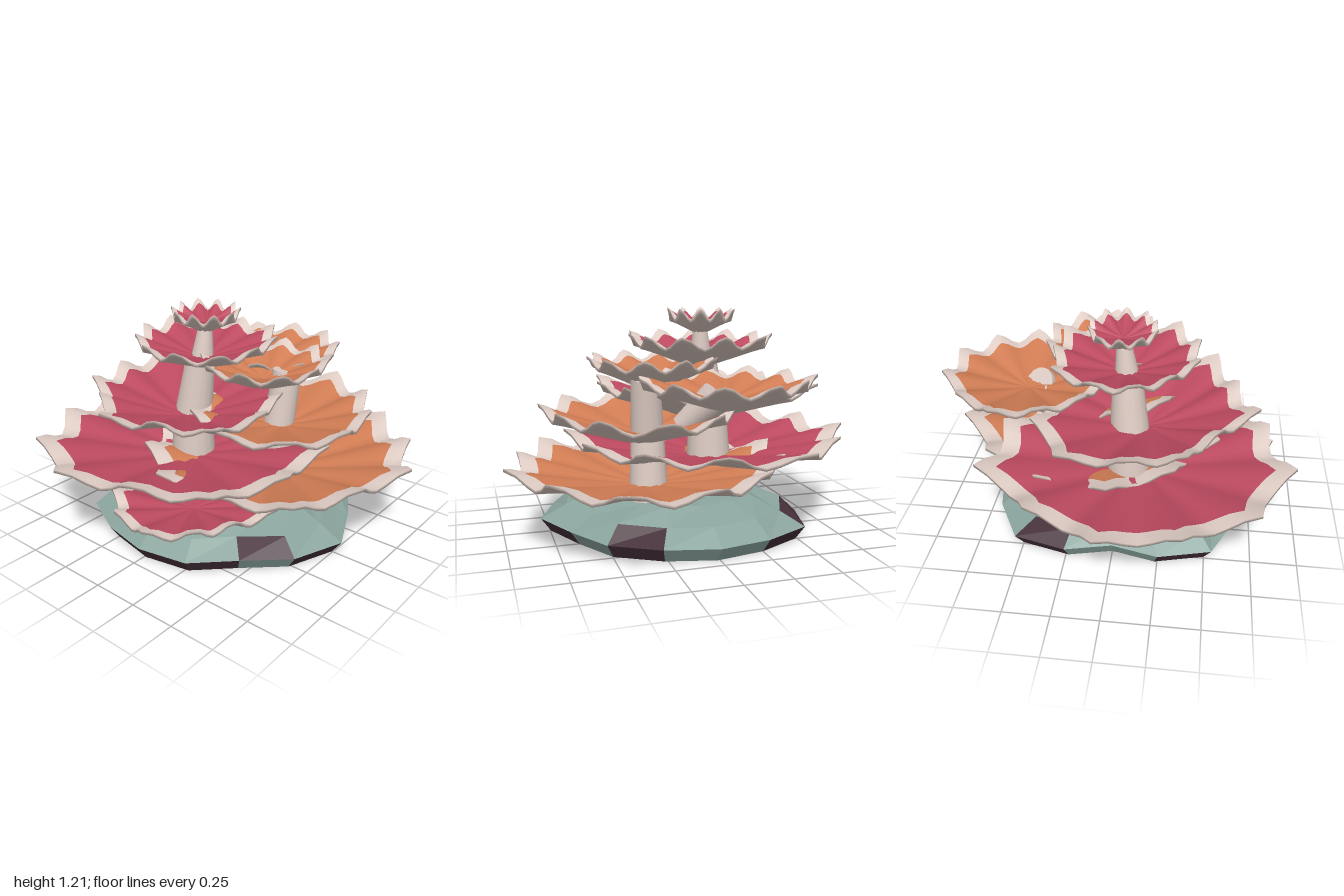
import * as THREE from 'three';

const mat = (name, color) => {
  const m = new THREE.MeshStandardMaterial({ color });
  m.name = name;
  return m;
};

// Grid surface from rings of [x, y, z] points closed around y; groups colour each ring band
function ringSurface(rings, faceDown, bandMaterial) {
  const n = rings[0].length, index = [];
  const g = new THREE.BufferGeometry();
  g.setAttribute('position', new THREE.Float32BufferAttribute(rings.flat(2), 3));
  for (let i = 0; i < rings.length - 1; i++) {
    g.addGroup(index.length, n * 6, bandMaterial(i));
    for (let j = 0; j < n; j++) {
      const k = (j + 1) % n;
      const a = i * n + j, b = i * n + k, c = a + n, d = b + n;
      if (faceDown) index.push(a, c, b, b, c, d);
      else index.push(a, b, c, b, d, c);
    }
  }
  g.setIndex(index);
  g.computeVertexNormals();
  return g;
}

// Nearly equal lobe lengths for the round plates
const evenTips = (n, r) => Array.from({ length: n }, (_, i) => r * (1 + 0.04 * Math.sin(i * 2.4)));

// Ruffled, shallow-cone plate: evenly spaced raised tips (from angle start) with notches between
function makePlate({ name, center: [cx, cz], start, tips, low, high, wave, rim, inner }, rimMat) {
  const steps = 6, n = tips.length * steps;
  const outline = Array.from({ length: n }, (_, j) => {
    const i = Math.floor(j / steps), u = (j % steps) / steps;
    const a = THREE.MathUtils.degToRad(start) + (j / n) * Math.PI * 2;
    const r = THREE.MathUtils.lerp(tips[i], tips[(i + 1) % tips.length], u) * (1 - 0.1 * Math.sin(Math.PI * u));
    return { r, x: r * Math.cos(a), z: r * Math.sin(a), lobe: Math.cos(2 * Math.PI * u) };
  });
  const radius = outline.reduce((s, p) => s + p.r, 0) / n;
  const thick = t => 0.06 - 0.045 * t;
  const ring = (t, drop) => outline.map(p => [
    cx + p.x * t,
    low + 0.06 - drop + (high - low - 0.06) * Math.pow(t, 1.25)
      + wave * p.lobe * (0.55 * t + 0.45 * Math.pow(t, 5)),
    cz + p.z * t,
  ]);
  const edge = 1 - rim / radius;
  const ts = [0, edge * 0.3, edge * 0.6, edge * 0.85, edge, (1 + edge) / 2, 1];

  const plate = new THREE.Group();
  plate.name = name;
  const top = new THREE.Mesh(
    ringSurface(ts.map(t => ring(t, 0)), false, i => (i < 4 ? 0 : 1)), [inner, rimMat]);
  top.name = name + 'Top';
  const under = new THREE.Mesh(
    ringSurface([...ts.map(t => ring(t, thick(t))), ring(1, 0)], true, () => 0), [rimMat]);
  under.name = name + 'Underside';
  plate.add(top, under);
  return plate;
}

// Tapered stem between two points
function makeStem(name, from, to, r0, r1, material) {
  const a = new THREE.Vector3(...from), b = new THREE.Vector3(...to);
  const dir = b.clone().sub(a);
  const m = new THREE.Mesh(new THREE.CylinderGeometry(r1, r0, dir.length(), 16), material);
  m.position.copy(a).add(b).multiplyScalar(0.5);
  m.quaternion.setFromUnitVectors(new THREE.Vector3(0, 1, 0), dir.normalize());
  m.name = name;
  return m;
}

// Low faceted rock with dark patches around the foot
function makeRock(teal, dark) {
  const radii = [0.79, 0.74, 0.67, 0.72, 0.72, 0.72, 0.76, 0.66, 0.55, 0.66, 0.76, 0.73, 0.73, 0.72, 0.74, 0.72];
  const n = radii.length;
  const levels = [[0, 0], [0.93, 0], [1, 0.075], [0.84, 0.15], [0.58, 0.205], [0, 0.22]];
  const point = (i, j) => {
    const [s, y] = levels[i], k = j % n, a = (k / n) * Math.PI * 2;
    const jit = i > 2 && i < 5 ? 0.03 * Math.sin(k * 2.4 + i * 1.9) : 0;
    const r = radii[k] * (s + jit);
    return [r * Math.cos(a) + 0.01, y + jit * 0.3, r * Math.sin(a)];
  };
  const tealFoot = [1, 7, 8, 11, 12, 14], darkSide = [1, 9, 13];
  const pos = [[], []];
  for (let i = 0; i < levels.length - 1; i++) {
    for (let j = 0; j < n; j++) {
      const isDark = i === 0 || (i === 1 && !tealFoot.includes(j)) || (i === 2 && darkSide.includes(j));
      const a = point(i, j), b = point(i, j + 1), c = point(i + 1, j), d = point(i + 1, j + 1);
      const out = pos[isDark ? 1 : 0];
      if (i > 0) out.push(a, c, b);
      if (i < levels.length - 2) out.push(b, c, d);
    }
  }
  const rock = new THREE.Group();
  rock.name = 'rock';
  [['rockStone', teal], ['rockDarkPatches', dark]].forEach(([name, m], i) => {
    const g = new THREE.BufferGeometry();
    g.setAttribute('position', new THREE.Float32BufferAttribute(pos[i].flat(), 3));
    g.computeVertexNormals();
    const mesh = new THREE.Mesh(g, m);
    mesh.name = name;
    rock.add(mesh);
  });
  return rock;
}

export function createModel() {
  const pale = mat('paleRim', 0xdfcdc5);
  const red = mat('coralRed', 0xbd4a60);
  const orange = mat('coralOrange', 0xd17d54);
  const teal = mat('stoneTeal', 0x8ba59e);
  const dark = mat('stoneDark', 0x46303a);

  const model = new THREE.Group();
  model.name = 'plateCoral';
  model.add(makeRock(teal, dark));

  // Plates, lowest first
  const plates = [
    { name: 'redPlateLow', center: [0.13, 0.42], low: 0.17, high: 0.3, wave: 0.03, rim: 0.06, inner: red,
      start: -17, tips: [0.47, 0.38, 0.4, 0.46, 0.44, 0.44, 0.48, 0.49, 0.49, 0.47, 0.49] },
    { name: 'orangePlateLow', center: [0.25, -0.18], low: 0.22, high: 0.41, wave: 0.04, rim: 0.1, inner: orange,
      start: -11, tips: [0.77, 0.7, 0.77, 0.74, 0.78, 0.76, 0.79, 0.75, 0.75, 0.8, 0.82, 0.76] },
    { name: 'redPlateWide', center: [-0.18, 0.11], low: 0.29, high: 0.48, wave: 0.04, rim: 0.1, inner: red,
      start: 10, tips: [0.82, 0.86, 0.77, 0.86, 0.85, 0.8, 0.83, 0.8, 0.9, 0.81, 0.8, 0.82] },
    { name: 'orangePlateMiddle', center: [0.28, -0.17], low: 0.5, high: 0.68, wave: 0.035, rim: 0.07, inner: orange,
      start: 17, tips: [0.54, 0.58, 0.58, 0.53, 0.5, 0.53, 0.54, 0.59, 0.51, 0.49] },
    { name: 'redPlateMiddle', center: [-0.15, 0.15], low: 0.55, high: 0.76, wave: 0.035, rim: 0.075, inner: red,
      start: 5, tips: [0.59, 0.65, 0.54, 0.6, 0.48, 0.56, 0.58, 0.7, 0.64, 0.57, 0.61, 0.54] },
    { name: 'orangePlateBack', center: [-0.08, -0.51], low: 0.71, high: 0.87, wave: 0.03, rim: 0.06, inner: orange,
      start: -4, tips: evenTips(11, 0.45) },
    { name: 'orangePlateUpper', center: [0.19, -0.11], low: 0.77, high: 0.94, wave: 0.03, rim: 0.05, inner: orange,
      start: 3, tips: evenTips(10, 0.355) },
    { name: 'redPlateUpper', center: [-0.12, 0.04], low: 0.87, high: 1.04, wave: 0.032, rim: 0.055, inner: red,
      start: 5, tips: [0.4, 0.43, 0.4, 0.39, 0.37, 0.39, 0.41, 0.44, 0.39, 0.43, 0.41] },
    { name: 'redPlateTop', center: [-0.12, 0.015], low: 1.06, high: 1.18, wave: 0.03, rim: 0.028, inner: red,
      start: 0, tips: evenTips(10, 0.19) },
  ];
  plates.forEach(p => model.add(makePlate(p, pale)));

  // Stems carrying the plates
  model.add(
    makeStem('redStemLower', [-0.19, 0.15, 0.06], [-0.18, 0.6, 0.06], 0.14, 0.11, pale),
    makeStem('redStemMiddle', [-0.18, 0.57, 0.06], [-0.14, 0.92, 0.04], 0.11, 0.08, pale),
    makeStem('redStemUpper', [-0.13, 0.88, 0.04], [-0.12, 1.09, 0.02], 0.07, 0.04, pale),
    makeStem('orangeStemLower', [0.24, 0.15, -0.2], [0.24, 0.55, -0.18], 0.11, 0.09, pale),
    makeStem('orangeStemUpper', [0.24, 0.5, -0.18], [0.26, 0.86, -0.23], 0.09, 0.08, pale),
    makeStem('backStem', [0.1, 0.62, -0.36], [-0.05, 0.78, -0.46], 0.06, 0.09, pale),
    makeStem('lowStem', [0.12, 0.12, 0.4], [0.13, 0.21, 0.42], 0.09, 0.06, pale),
  );
  return model;
}
